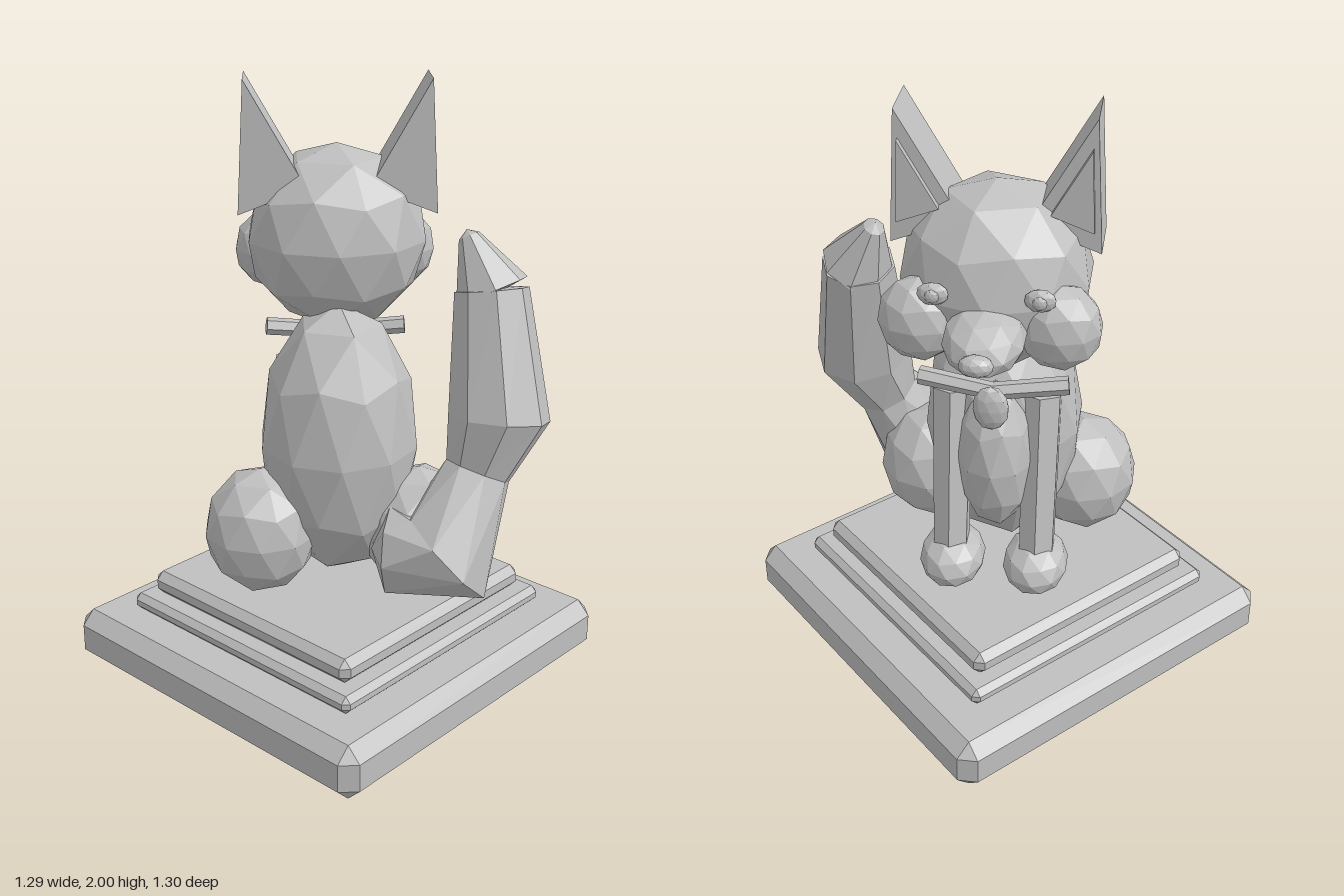
import * as THREE from 'three';
import { ConvexGeometry } from 'three/addons/geometries/ConvexGeometry.js';

const stone = new THREE.MeshStandardMaterial({ color: 0xbfbfbf });
stone.name = 'stoneGrey';

// Gives every face its own normal
function flat(geometry) {
  const g = geometry.index ? geometry.toNonIndexed() : geometry;
  g.computeVertexNormals();
  return g;
}

function add(parent, name, geometry) {
  const mesh = new THREE.Mesh(flat(geometry), stone);
  mesh.name = name;
  parent.add(mesh);
  return mesh;
}

// Faceted ellipsoid with a corner at its pole
function blob(parent, name, pos, radii) {
  const g = new THREE.IcosahedronGeometry(1, 1);
  g.rotateZ(Math.atan(2 / (1 + Math.sqrt(5))));
  g.scale(...radii);
  return add(parent, name, g.translate(...pos));
}

// Tapered rod between two points
function rod(parent, name, from, to, rFrom, rTo, sides) {
  const a = new THREE.Vector3(...from), b = new THREE.Vector3(...to);
  const d = b.clone().sub(a);
  const mesh = add(parent, name, new THREE.CylinderGeometry(rTo, rFrom, d.length(), sides));
  mesh.position.copy(a).add(b).multiplyScalar(0.5);
  mesh.quaternion.setFromUnitVectors(new THREE.Vector3(0, 1, 0), d.normalize());
  return mesh;
}

// Square slab with chamfered edges
function slab(parent, name, half, y0, y1, bevel) {
  const h = (y1 - y0) / 2, pts = [];
  for (const x of [-1, 1]) for (const y of [-1, 1]) for (const z of [-1, 1])
    for (const [a, b, c] of [[0, 1, 1], [1, 0, 1], [1, 1, 0]])
      pts.push(new THREE.Vector3(x * (half - a * bevel), y * (h - b * bevel), z * (half - c * bevel)));
  add(parent, name, new ConvexGeometry(pts)).position.set(0, (y0 + y1) / 2, -0.005);
}

// Triangular prism with its thickness along z
function prism(parent, name, points, z, depth) {
  const shape = new THREE.Shape(points.map(([x, y]) => new THREE.Vector2(x, y)));
  const g = new THREE.ExtrudeGeometry(shape, { depth, bevelEnabled: false });
  add(parent, name, g.translate(0, 0, z));
}

// Skin over rings of [x, y, z, radius]
function sweep(parent, name, rings, sides) {
  const centres = rings.map(r => new THREE.Vector3(r[0], r[1], r[2]));
  const pos = [], idx = [];
  rings.forEach((ring, i) => {
    const t = centres[Math.min(i + 1, rings.length - 1)].clone()
      .sub(centres[Math.max(i - 1, 0)]).normalize();
    const s = new THREE.Vector3(1, 0, 0).addScaledVector(t, -t.x).normalize();
    const u = t.clone().cross(s);
    for (let j = 0; j < sides; j++) {
      const a = j / sides * Math.PI * 2;
      const p = centres[i].clone()
        .addScaledVector(s, Math.cos(a) * ring[3])
        .addScaledVector(u, Math.sin(a) * ring[3]);
      pos.push(p.x, p.y, p.z);
      if (i === 0) continue;
      const k = (j + 1) % sides, lo = (i - 1) * sides, hi = i * sides;
      idx.push(lo + j, lo + k, hi + k, lo + j, hi + k, hi + j);
    }
  });
  const g = new THREE.BufferGeometry();
  g.setAttribute('position', new THREE.Float32BufferAttribute(pos, 3));
  g.setIndex(idx);
  add(parent, name, g);
}

export function createModel() {
  const model = new THREE.Group();
  model.name = 'sittingFox';

  // Stepped pedestal
  const pedestal = new THREE.Group();
  pedestal.name = 'pedestal';
  model.add(pedestal);
  slab(pedestal, 'bottomStep', 0.645, 0, 0.187, 0.047);
  slab(pedestal, 'middleStep', 0.5, 0.187, 0.247, 0.02);
  slab(pedestal, 'topStep', 0.45, 0.247, 0.33, 0.026);

  // The animal faces its own +z and is turned on the pedestal
  const fox = new THREE.Group();
  fox.name = 'fox';
  fox.rotation.y = Math.PI * 0.75;
  model.add(fox);

  blob(fox, 'body', [0, 0.83, -0.035], [0.265, 0.47, 0.285]);
  blob(fox, 'chest', [0, 0.82, 0.18], [0.13, 0.28, 0.15]);
  blob(fox, 'head', [0, 1.475, 0.141], [0.3, 0.305, 0.28]);
  blob(fox, 'muzzle', [0, 1.4, 0.42], [0.125, 0.09, 0.17]);
  blob(fox, 'nose', [0, 1.412, 0.592], [0.052, 0.034, 0.034]);

  for (const s of [1, -1]) {
    const side = s > 0 ? 'left' : 'right';
    // Face
    blob(fox, side + 'Cheek', [s * 0.21, 1.39, 0.31], [0.13, 0.138, 0.11]);
    blob(fox, side + 'Eye', [s * 0.157, 1.515, 0.383], [0.048, 0.037, 0.022]);
    blob(fox, side + 'Pupil', [s * 0.157, 1.515, 0.4], [0.022, 0.022, 0.012]);
    // Ears
    prism(fox, side + 'Ear', [[s * 0.294, 2], [s * 0.317, 1.575], [s * 0.1, 1.66]], 0.015, 0.176);
    prism(fox, side + 'InnerEar', [[s * 0.283, 1.91], [s * 0.294, 1.65], [s * 0.165, 1.7]], 0.19, 0.022);
    // Legs
    blob(fox, side + 'Haunch', [s * 0.26, 0.55, -0.125], [0.19, 0.215, 0.19]);
    rod(fox, side + 'FrontLeg', [s * 0.143, 0.42, 0.262], [s * 0.143, 1.045, 0.145], 0.062, 0.07, 6);
    blob(fox, side + 'FrontPaw', [s * 0.14, 0.43, 0.245], [0.11, 0.092, 0.14]);
    // Collar half
    rod(fox, side + 'Collar', [0, 1.11, 0.26], [s * 0.235, 1.135, 0.235], 0.028, 0.03, 6);
  }
  blob(fox, 'pendant', [0, 1.075, 0.304], [0.058, 0.08, 0.03]);

  // Tail sweeping out behind and curling upwards
  sweep(model, 'tail', [
    [-0.09, 0.52, 0.23, 0],
    [-0.05, 0.52, 0.28, 0.15],
    [0.03, 0.53, 0.45, 0.185],
    [0.17, 0.78, 0.455, 0.11],
    [0.235, 0.95, 0.485, 0.165],
    [0.29, 1.35, 0.395, 0.12],
    [0.29, 1.36, 0.39, 0],
  ], 8);
  sweep(model, 'tailTip', [
    [0.29, 1.33, 0.4, 0],
    [0.29, 1.345, 0.395, 0.122],
    [0.28, 1.51, 0.305, 0.035],
    [0.28, 1.53, 0.295, 0],
  ], 8);

  return model;
}
